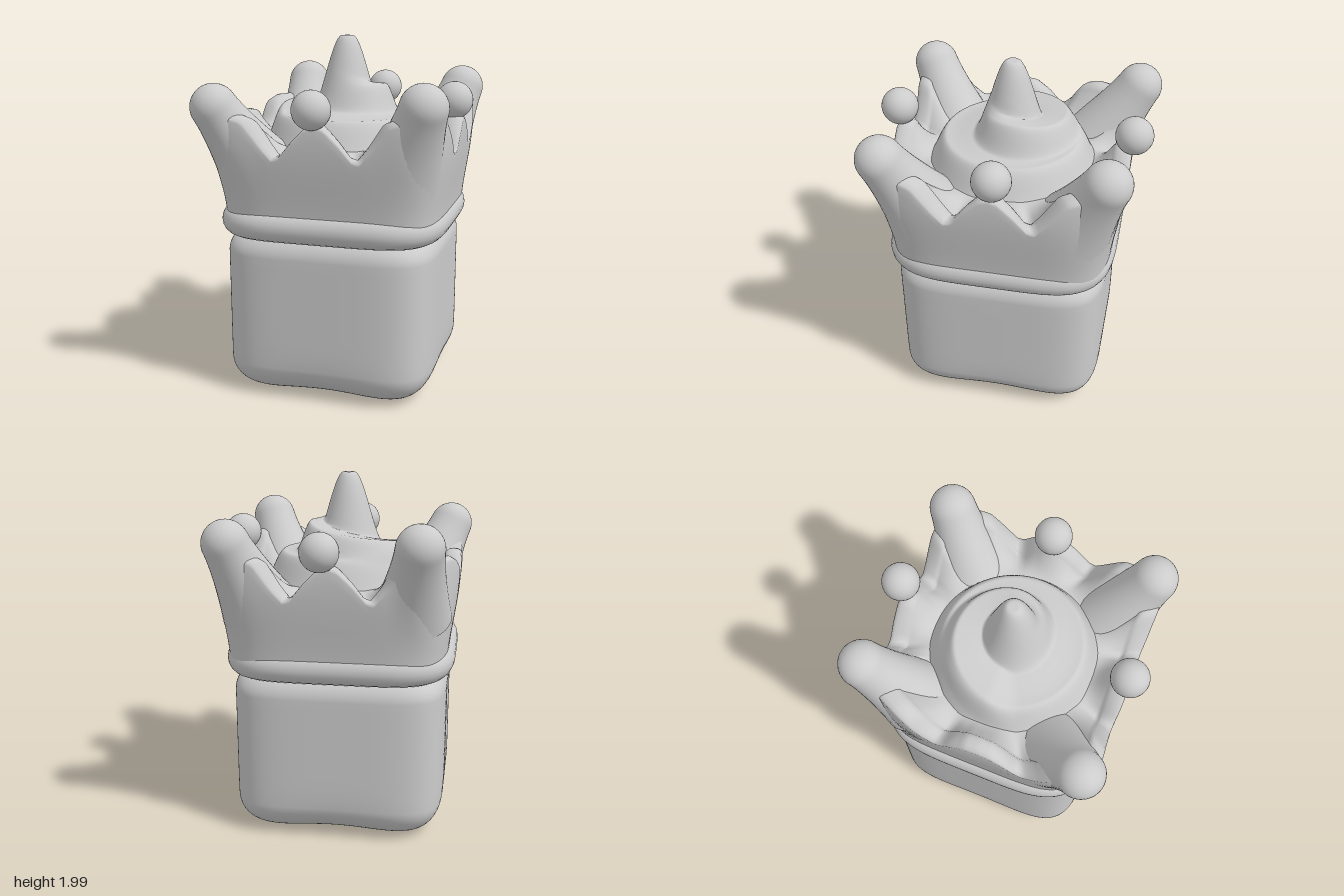
import * as THREE from 'three';

const ss = (a, b, x) => THREE.MathUtils.smoothstep(x, a, b);
const lerp = THREE.MathUtils.lerp;

// Surface from closed rings; fn(i, j) gives [x, y, z]
function rings(nu, nv, fn) {
  const pos = [], idx = [];
  for (let j = 0; j <= nv; j++) for (let i = 0; i < nu; i++) pos.push(...fn(i, j));
  for (let j = 0; j < nv; j++) for (let i = 0; i < nu; i++) {
    const k = (i + 1) % nu, a = j * nu + i, b = j * nu + k, c = a + nu, d = b + nu;
    idx.push(a, b, c, b, d, c);
  }
  const g = new THREE.BufferGeometry();
  g.setAttribute('position', new THREE.Float32BufferAttribute(pos, 3));
  g.setIndex(idx);
  g.computeVertexNormals();
  return g;
}

// Point on a rounded square of half width a, for s in 0..4 (one unit per side)
function square(s, a, p = 5) {
  const side = Math.floor(s) % 4, u = 2 * (s - Math.floor(s)) - 1;
  const c = [1, 0, -1, 0][side], n = [0, 1, 0, -1][side];
  const dx = u * c + n, dz = c - u * n;
  const k = a / Math.pow(Math.pow(Math.abs(u), p) + 1, 1 / p);
  return { side, u, dx, dz, x: dx * k, z: dz * k };
}

// Soft cube: rounded square rings, pinched a little at the foot of each face
function bodyGeometry() {
  const N = 160, M = 48, lo = 0.01, hi = 0.95;
  return rings(N, M, (i, j) => {
    const t = j / M, s = (i / N) * 4;
    let half, y;
    if (t < 0.4) { // underside and bottom edge
      const q = t / 0.4, a = Math.max(0, (q - 0.4) / 0.6) * Math.PI / 2;
      half = q < 0.4 ? 0.42 * q / 0.4 : 0.42 + 0.18 * Math.sin(a);
      y = lo + 0.18 * (1 - Math.cos(a));
    } else if (t < 0.6) { // straight sides
      half = 0.6;
      y = lerp(lo + 0.18, hi - 0.13, (t - 0.4) / 0.2);
    } else { // top edge and top
      const q = (t - 0.6) / 0.4, a = Math.min(1, q / 0.6) * Math.PI / 2;
      half = q > 0.6 ? 0.47 * (1 - q) / 0.4 : 0.47 + 0.13 * Math.cos(a);
      y = hi - 0.13 + 0.13 * Math.sin(a);
    }
    const { x, z, u } = square(s, half);
    const mid = Math.cos(u * Math.PI / 2) ** 2 * (1 - ss(0.02, 0.3, y)) * ss(0.2, 0.5, half);
    return [x * (1 - 0.03 * mid) - 0.01, y + 0.02 * mid, z * (1 - 0.03 * mid) + 0.015];
  });
}

// Rim height along a side: [distance from the middle, y]
const POINTED = [[0, 1.57], [0.05, 1.555], [0.13, 1.48], [0.2, 1.4], [0.24, 1.385], [0.3, 1.45], [0.4, 1.58], [0.46, 1.6], [1, 1.6]];
const ROUNDED = [[0, 1.56], [0.08, 1.55], [0.16, 1.49], [0.22, 1.42], [0.26, 1.41], [0.32, 1.46], [0.4, 1.57], [0.46, 1.6], [1, 1.6]];
function rimHeight(table, d) {
  const i = table.findIndex((p) => p[0] >= d);
  if (i === 0) return table[0][1];
  const [a, b] = [table[i - 1], table[i]];
  return lerp(a[1], b[1], (d - a[0]) / (b[0] - a[0]));
}

// Corner tip centres
const TIPS = [[0.555, 1.67, 0.595], [0.55, 1.67, -0.575], [-0.47, 1.675, -0.64], [-0.58, 1.64, 0.605]];

function crownGeometry() {
  const N = 240, OUT = 10, RIM = 6, IN = 12, top = 0.665, inner = 0.565;
  return rings(N, OUT + RIM + IN, (i, j) => {
    const s = (i / N) * 4;
    const e = square(s, top);
    const along = e.side % 2 ? e.z : e.x;
    const h = (e.side === 3 ? rimHeight(ROUNDED, Math.abs(along - 0.06)) : rimHeight(POINTED, Math.abs(along))) - 0.02;
    let x, y, z;
    if (j <= OUT) { // outer wall
      y = lerp(1.0, h, j / OUT);
      ({ x, z } = square(s, lerp(0.61, top, ss(0.95, 1.5, y))));
    } else if (j <= OUT + RIM) { // rounded rim
      const t = (j - OUT) / RIM;
      ({ x, z } = square(s, lerp(top, inner, 0.5 - 0.5 * Math.cos(Math.PI * t))));
      y = h + 0.03 * Math.sin(Math.PI * t);
    } else { // slope down to the round filling
      const t = (j - OUT - RIM) / IN, p = square(s, inner), l = Math.hypot(e.dx, e.dz);
      x = lerp(p.x, (e.dx / l) * 0.42, t);
      z = lerp(p.z, (e.dz / l) * 0.42, t);
      y = lerp(h, 1.41, Math.sin((t * Math.PI) / 2));
    }
    // lean each corner towards its own tip
    const tip = TIPS[x > 0 ? (z > 0 ? 0 : 1) : (z > 0 ? 3 : 2)];
    const w = ss(1.1, 1.65, y) * ss(0.45, 0.9, Math.abs(e.u));
    x += w * (tip[0] - Math.sign(x) * 0.56);
    z += w * (tip[2] - Math.sign(z) * 0.56);
    return [x, y, z + 0.01];
  });
}

// Flared horn with a round end, its end centre at height len
function hornGeometry(len, r) {
  const pts = [];
  for (let i = 0; i <= 12; i++) {
    const t = i / 12;
    pts.push(new THREE.Vector2(r + 0.085 * Math.pow(1 - t, 1.4), len * t));
  }
  for (let i = 1; i <= 10; i++) {
    const a = (i / 10) * Math.PI / 2;
    pts.push(new THREE.Vector2(r * Math.cos(a), len + r * Math.sin(a)));
  }
  return new THREE.LatheGeometry(pts, 36);
}

// Swirled filling: round dome, rising spiral step and a central peak
function swirlGeometry() {
  const N = 120, M = 56, turn = Math.PI * 2;
  return rings(N, M, (i, j) => {
    const a = (i / N) * turn, r = 0.5 * (1 - j / M);
    const base = 1.37 + 0.19 * (1 - ss(0.37, 0.5, r)) + 0.03 * (1 - ss(0.15, 0.36, r)) + 0.41 * (1 - ss(0.03, 0.21, r));
    const s = ((((-1.1 - a) % turn) + turn) % turn) / turn;
    const edge = 0.48 - 0.33 * s;
    const mask = ss(0, 0.08, s) * (1 - ss(0.5, 0.95, s)) * (1 - ss(edge - 0.09, edge, r));
    const y = Math.max(base, lerp(base, 1.6 + 0.25 * s, mask));
    return [Math.sin(a) * r - 0.015, y, Math.cos(a) * r + 0.015];
  });
}

export function createModel() {
  const group = new THREE.Group();
  const mat = new THREE.MeshStandardMaterial({ color: 0xcccccc, side: THREE.DoubleSide });
  const add = (name, geo, x = 0, y = 0, z = 0) => {
    const m = new THREE.Mesh(geo, mat);
    m.name = name;
    m.position.set(x, y, z);
    group.add(m);
    return m;
  };

  add('body', bodyGeometry());

  // Rolled band under the crown
  const path = [];
  for (let i = 0; i < 64; i++) {
    const p = square(i / 16, 0.56, 4.8);
    path.push(new THREE.Vector3(p.x, 1, p.z));
  }
  add('crownBand', new THREE.TubeGeometry(new THREE.CatmullRomCurve3(path, true), 160, 0.085, 20, true), -0.008, 0, 0.018);

  // Crown wall and filling
  add('crownWall', crownGeometry());
  add('swirl', swirlGeometry());

  // Flared horns leaning outwards at the corners
  for (const t of TIPS) {
    const foot = new THREE.Vector3(Math.sign(t[0]) * 0.42, 1.3, Math.sign(t[2]) * 0.42 + 0.01);
    const axis = new THREE.Vector3(...t).sub(foot);
    const horn = add('cornerHorn', hornGeometry(axis.length(), 0.128), foot.x, foot.y, foot.z);
    horn.quaternion.setFromUnitVectors(new THREE.Vector3(0, 1, 0), axis.normalize());
  }

  // Balls on three of the side points
  for (const b of [[-0.015, 1.65, 0.663], [0.04, 1.65, -0.66], [0.605, 1.65, 0]])
    add('pointBall', new THREE.SphereGeometry(0.104, 28, 20), ...b);

  return group;
}
